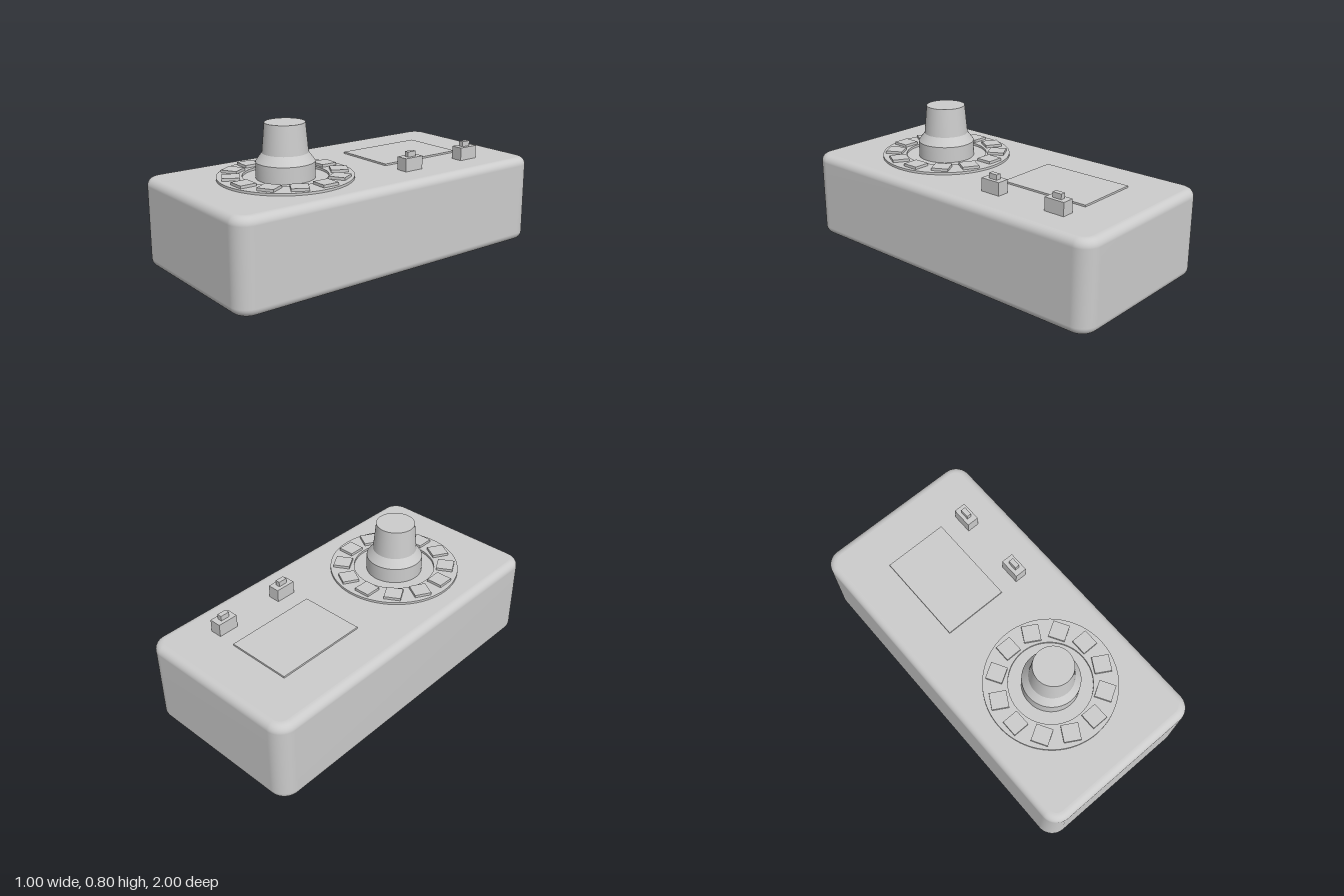
import * as THREE from 'three';
import { mergeVertices, toCreasedNormals } from 'three/addons/utils/BufferGeometryUtils.js';

const mat = new THREE.MeshStandardMaterial({ color: 0xcccccc });
const matDouble = new THREE.MeshStandardMaterial({ color: 0xcccccc, side: THREE.DoubleSide });

const W = 0.5, D = 1, H = 0.5;          // half width, half depth, height
const CORNER = 0.095, FILLET = 0.045;   // vertical corner and edge radii
const HOLE_X = 0.37, HOLE_Z = 0.87, HOLE_R = 0.056;

function add(parent, name, geometry, x = 0, y = 0, z = 0, material = mat) {
  const mesh = new THREE.Mesh(geometry, material);
  mesh.name = name;
  mesh.position.set(x, y, z);
  parent.add(mesh);
  return mesh;
}

// A box that stands on y
function addBox(parent, name, w, h, d, x, y, z) {
  return add(parent, name, new THREE.BoxGeometry(w, h, d), x, y + h / 2, z);
}

// Rounded rectangle outline, drawn inwards by the given inset
function outline(inset) {
  const r = CORNER - inset, points = [], steps = 10;
  [[1, 1], [-1, 1], [-1, -1], [1, -1]].forEach(([sx, sz], k) => {
    for (let i = 0; i <= steps; i++) {
      const a = (k + i / steps) * Math.PI / 2;
      points.push(new THREE.Vector2(sx * (W - CORNER) + r * Math.cos(a), sz * (D - CORNER) + r * Math.sin(a)));
    }
  });
  return points;
}

// Side walls with filleted top and bottom edges, built from stacked outlines
function wallGeometry() {
  const rings = [], steps = 8;
  for (let i = 0; i <= steps; i++) {
    const a = i / steps * Math.PI / 2;
    rings.push([FILLET * (1 - Math.sin(a)), FILLET * (1 - Math.cos(a))]);
  }
  for (let i = steps; i >= 0; i--) rings.push([rings[i][0], H - rings[i][1]]);
  const positions = [], index = [];
  let n = 0;
  for (const [inset, y] of rings) {
    const loop = outline(inset);
    n = loop.length;
    for (const p of loop) positions.push(p.x, y, p.y);
  }
  for (let j = 0; j < rings.length - 1; j++) {
    for (let i = 0; i < n; i++) {
      const a = j * n + i, b = j * n + (i + 1) % n;
      index.push(a, a + n, b, b, a + n, b + n);
    }
  }
  let g = new THREE.BufferGeometry();
  g.setAttribute('position', new THREE.Float32BufferAttribute(positions, 3));
  g.setIndex(index);
  g = mergeVertices(g);
  g.computeVertexNormals();
  return g;
}

function lathe(points, segments = 64) {
  const g = new THREE.LatheGeometry(points.map(([r, y]) => new THREE.Vector2(r, y)), segments);
  return toCreasedNormals(g, 0.35);
}

export function createModel() {
  const model = new THREE.Group();
  model.name = 'controlBox';

  // Case: walls, lid and a base with four screw holes
  const body = new THREE.Group();
  body.name = 'case';
  model.add(body);
  add(body, 'caseWalls', wallGeometry());
  add(body, 'caseTop', new THREE.ShapeGeometry(new THREE.Shape(outline(FILLET))), 0, H, 0).rotation.x = -Math.PI / 2;

  const base = new THREE.Shape(outline(FILLET));
  const well = lathe([[HOLE_R, 0], [0.044, 0.018], [0.044, 0.2], [0, 0.2]], 32);
  for (const sx of [-1, 1]) {
    for (const sz of [-1, 1]) {
      const hole = new THREE.Path();
      hole.absarc(sx * HOLE_X, sz * HOLE_Z, HOLE_R, 0, Math.PI * 2, true);
      base.holes.push(hole);
      add(body, 'screwHole', well, sx * HOLE_X, 0, sz * HOLE_Z, matDouble);
    }
  }
  add(body, 'caseBase', new THREE.ShapeGeometry(base, 16)).rotation.x = Math.PI / 2;

  // Dial: flat ring, twelve tiles and the knob
  const dial = new THREE.Group();
  dial.name = 'dial';
  dial.position.set(0, H, 0.4);
  model.add(dial);
  add(dial, 'dialRing', lathe([[0.232, 0], [0.37, 0], [0.37, 0.013], [0.232, 0.013], [0.232, 0]], 96));
  for (let i = 0; i < 12; i++) {
    const arm = new THREE.Group();
    arm.name = 'dialMarker';
    arm.rotation.y = i * Math.PI / 6;
    dial.add(arm);
    addBox(arm, 'dialTile', 0.095, 0.015, 0.095, -0.05, 0.013, -0.293);
  }
  add(dial, 'knob', lathe([[0, 0], [0.16, 0], [0.16, 0.09], [0.125, 0.138], [0.11, 0.3], [0, 0.3]]));

  // Display panel
  addBox(model, 'displayPanel', 0.378, 0.01, 0.54, -0.045, H, -0.447);

  // Two slide switches beside the display
  for (const z of [-0.235, -0.655]) {
    addBox(model, 'switchBody', 0.07, 0.074, 0.12, 0.284, H, z);
    addBox(model, 'switchLever', 0.028, 0.029, 0.054, 0.284, H + 0.074, z);
  }
  return model;
}
